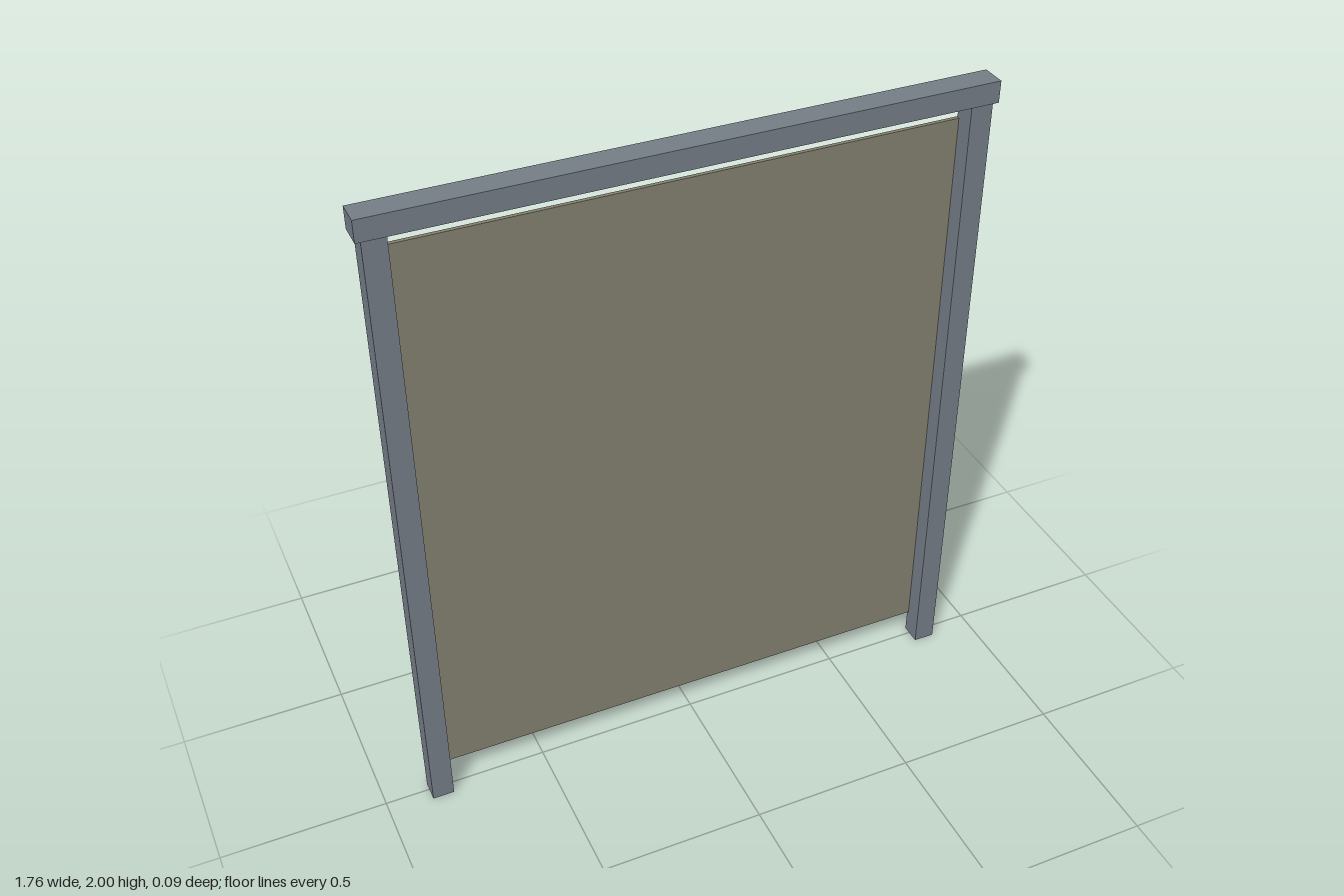
import * as THREE from 'three';

export function createModel() {
  const model = new THREE.Group();
  model.name = 'framedPanel';
  const steel = new THREE.MeshStandardMaterial({ name: 'blue grey steel', color: 0x757d86 });
  const sheet = new THREE.MeshStandardMaterial({ name: 'olive grey sheet', color: 0x837f70 });

  // Box given by its lower and upper corners
  function box(name, material, [x0, y0, z0], [x1, y1, z1]) {
    const mesh = new THREE.Mesh(new THREE.BoxGeometry(x1 - x0, y1 - y0, z1 - z0), material);
    mesh.position.set((x0 + x1) / 2, (y0 + y1) / 2, (z0 + z1) / 2);
    mesh.name = name;
    model.add(mesh);
  }

  // Posts and the wider, deeper beam capping them
  box('leftPost', steel, [0.8, 0, -0.024], [0.865, 1.937, 0.04]);
  box('rightPost', steel, [-0.865, 0, -0.024], [-0.8, 1.937, 0.04]);
  box('topBeam', steel, [-0.88, 1.937, -0.03], [0.88, 2, 0.045]);

  // Thin sheet lapping over the backs of the posts
  box('panel', sheet, [-0.83, 0.08, -0.028], [0.83, 1.88, -0.016]);

  // Upright stiffeners on the back of the sheet
  [-0.645, -0.32, 0, 0.32, 0.645].forEach((x, i) =>
    box(`stiffener${i + 1}`, sheet, [x - 0.01, 0.135, -0.045], [x + 0.01, 1.853, -0.027]));

  return model;
}
